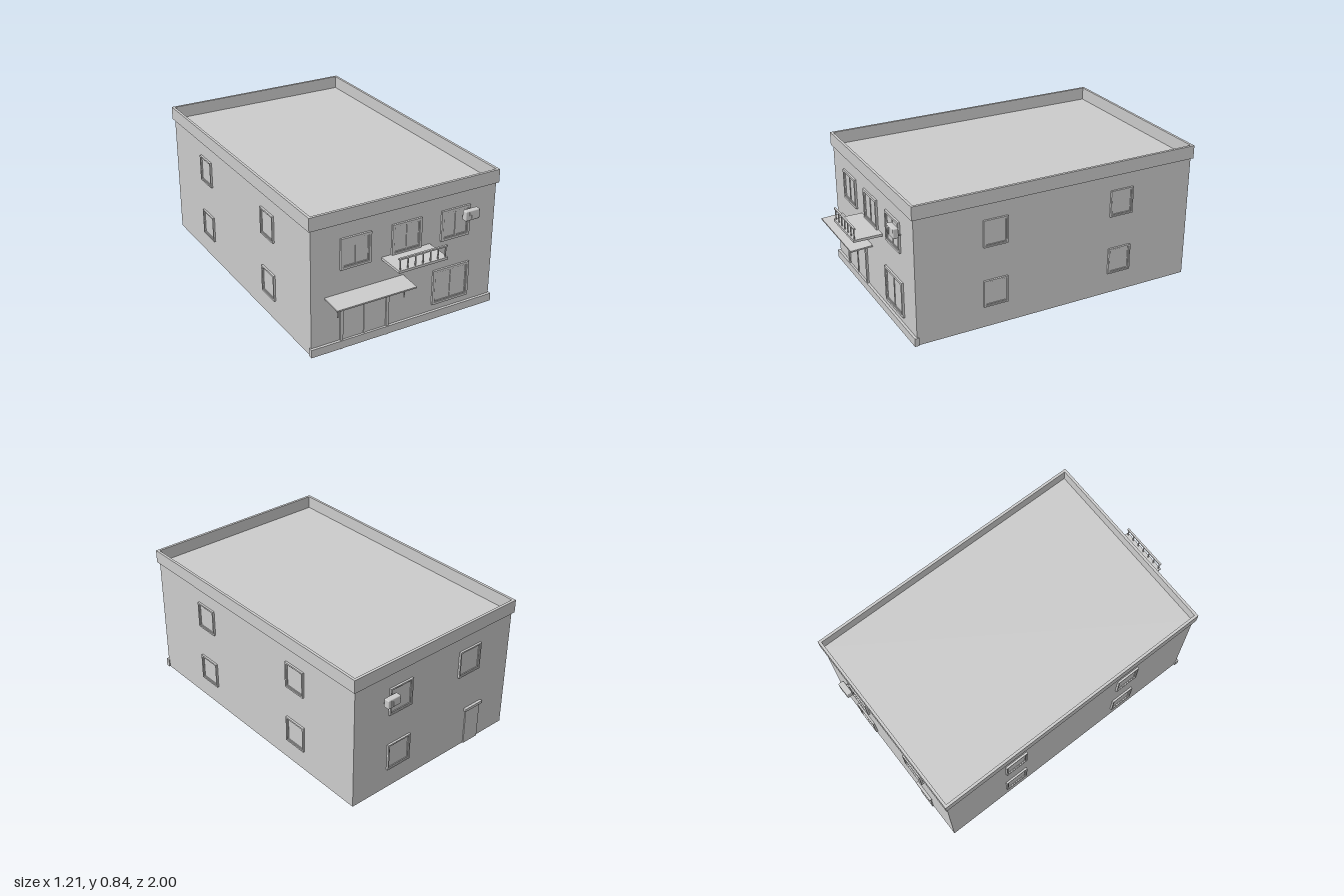
import * as THREE from 'three';
import { RoundedBoxGeometry } from 'three/addons/geometries/RoundedBoxGeometry.js';

const mat = new THREE.MeshStandardMaterial({ color: 0xcccccc });

function add(parent, name, geometry) {
  const mesh = new THREE.Mesh(geometry, mat);
  mesh.name = name;
  parent.add(mesh);
  return mesh;
}

// Box given by its lower and upper limits on each axis
function box(parent, name, x0, x1, y0, y1, z0, z1) {
  const mesh = add(parent, name, new THREE.BoxGeometry(x1 - x0, y1 - y0, z1 - z0));
  mesh.position.set((x0 + x1) / 2, (y0 + y1) / 2, (z0 + z1) / 2);
  return mesh;
}

function group(parent, name) {
  const g = new THREE.Group();
  g.name = name;
  parent.add(g);
  return g;
}

function rect(C, x0, x1, y0, y1) {
  return new C([[x0, y0], [x1, y0], [x1, y1], [x0, y1]].map(p => new THREE.Vector2(...p)));
}

// Rectangular ring in the xy plane, extruded towards +z
function ring(w, h, t, depth) {
  const s = rect(THREE.Shape, -w / 2, w / 2, -h / 2, h / 2);
  s.holes.push(rect(THREE.Path, -w / 2 + t, w / 2 - t, -h / 2 + t, h / 2 - t));
  return new THREE.ExtrudeGeometry(s, { depth, bevelEnabled: false });
}

// Window facing +z, centred on its own origin, which lies on the wall
function makeWindow(parent, name, w, h, mullion, t = 0.014) {
  const g = group(parent, name);
  add(g, 'outerFrame', ring(w, h, t, 0.012));
  add(g, 'sash', ring(w - 2 * t, h - 2 * t, 0.006, 0.007));
  box(g, 'pane', -w / 2 + t, w / 2 - t, -h / 2 + t, h / 2 - t, -0.01, 0.003);
  if (mullion) box(g, 'mullion', -0.003, 0.003, -h / 2 + t, h / 2 - t, 0, 0.007);
  return g;
}

// Air conditioner facing +z, with brackets reaching back to the wall
function makeAirConditioner(parent, name, w, h, d, gap) {
  const g = group(parent, name);
  add(g, 'housing', new RoundedBoxGeometry(w, h, d, 2, 0.006));
  for (const x of [-0.022, -0.007])
    box(g, 'slat', x - 0.002, x + 0.002, -h * 0.36, h * 0.36, d / 2 - 0.002, d / 2 + 0.002);
  for (const x of [-w * 0.3, w * 0.3])
    box(g, 'bracket', x - 0.003, x + 0.003, -h / 2 + 0.006, -h / 2 + 0.012, -d / 2 - gap, 0);
  return g;
}

export function createModel() {
  const model = new THREE.Group();
  model.name = 'building';
  const X = 0.59, FRONT = 0.827, BACK = -0.947;

  // Walls, roof and parapet
  box(model, 'walls', -X, X, 0.006, 0.767, BACK, FRONT);
  const parapet = add(model, 'parapet', ring(1.206, 1.796, 0.016, 0.08));
  parapet.rotation.x = -Math.PI / 2;
  parapet.position.set(0, 0.765, -0.06);
  box(model, 'frontPlinth', -0.597, 0.597, 0.006, 0.055, FRONT - 0.01, 0.843);

  // Front windows
  for (const x of [-0.32, 0, 0.32])
    makeWindow(model, 'upperFrontWindow', 0.19, 0.185, true).position.set(x, 0.583, FRONT);
  makeWindow(model, 'lowerFrontWindow', 0.244, 0.218, true).position.set(0.307, 0.205, FRONT);

  // Side windows
  for (const side of [-1, 1]) for (const z of [-0.47, 0.345]) for (const y of [0.219, 0.588]) {
    const w = makeWindow(model, 'sideWindow', 0.15, 0.163, false, 0.009);
    w.position.set(side * X, y, z);
    w.rotation.y = side * Math.PI / 2;
  }

  // Back windows
  for (const [x, y] of [[0.265, 0.588], [-0.26, 0.588], [0.265, 0.219]]) {
    const w = makeWindow(model, 'backWindow', 0.165, 0.17, false, 0.009);
    w.position.set(x, y, BACK);
    w.rotation.y = Math.PI;
  }

  // Front double door
  const door = group(model, 'frontDoor');
  for (const [x0, x1] of [[-0.415, -0.397], [-0.123, -0.105]])
    box(door, 'doorJamb', x0, x1, 0, 0.31, FRONT - 0.01, 0.838);
  box(door, 'doorHead', -0.415, -0.105, 0.294, 0.31, FRONT - 0.01, 0.838);
  box(door, 'doorLeaves', -0.397, -0.123, 0.006, 0.294, FRONT - 0.01, 0.83);
  box(door, 'meetingStile', -0.265, -0.256, 0.006, 0.288, FRONT, 0.835);
  box(door, 'innerHead', -0.397, -0.123, 0.288, 0.294, FRONT, 0.834);

  // Back door with lintel
  const backDoor = group(model, 'backDoor');
  box(backDoor, 'doorLeaf', -0.378, -0.266, 0.006, 0.24, BACK - 0.007, BACK);
  box(backDoor, 'lintel', -0.39, -0.254, 0.24, 0.258, BACK - 0.016, BACK);

  // Sloping awning with hanging rods
  const awning = group(model, 'awning');
  const sheet = box(awning, 'awningSheet', -0.508, -0.012, 0.334, 0.343, 0.822, 0.962);
  sheet.rotation.x = 0.055;
  for (const x of [-0.47, -0.054])
    box(awning, 'hangingRod', x - 0.0025, x + 0.0025, 0.255, 0.336, 0.902, 0.907);

  // Balcony with a front railing
  const balcony = group(model, 'balcony');
  box(balcony, 'balconySlab', -0.156, 0.156, 0.479, 0.494, FRONT - 0.01, 1);
  box(balcony, 'handrail', -0.154, 0.154, 0.555, 0.564, 0.984, 0.996);
  for (let i = -3; i <= 3; i++)
    box(balcony, 'baluster', i * 0.048 - 0.003, i * 0.048 + 0.003, 0.49, 0.557, 0.987, 0.993);

  // Air conditioners
  makeAirConditioner(model, 'frontAirConditioner', 0.095, 0.06, 0.034, 0.02).position.set(0.4, 0.631, 0.865);
  const rear = makeAirConditioner(model, 'backAirConditioner', 0.09, 0.055, 0.036, 0.015);
  rear.position.set(0.355, 0.617, -0.98);
  rear.rotation.y = Math.PI;

  return model;
}
